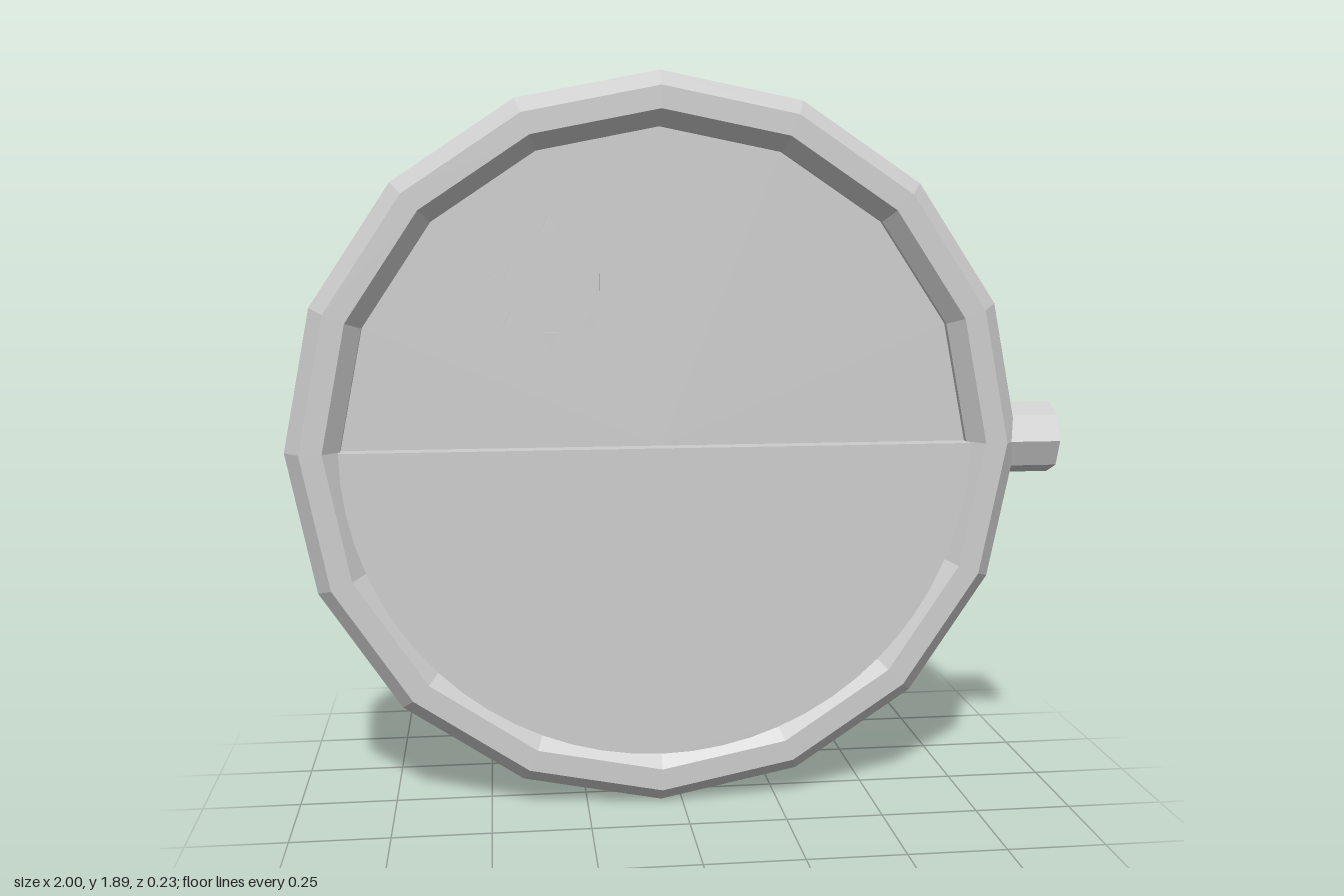
import * as THREE from 'three';

export function createModel() {
  const group = new THREE.Group();
  group.name = 'roundBadge';
  const grey = new THREE.MeshStandardMaterial({ color: 0xcccccc, flatShading: true });
  grey.name = 'plain grey';

  const add = (name, geometry, x, y) => {
    const mesh = new THREE.Mesh(geometry, grey);
    mesh.name = name;
    mesh.position.set(x, y, 0);
    group.add(mesh);
    return mesh;
  };
  // Slab of a shape, centred on z = 0 so both faces show
  const slab = (shape, half, curveSegments = 16) =>
    new THREE.ExtrudeGeometry(shape, { depth: half * 2, bevelEnabled: false, curveSegments })
      .translate(0, 0, -half);

  const cx = -0.055, cy = 0.95;

  // Bevelled sixteen-sided rim
  const profile = [
    [0.905, -0.115], [0.945, -0.07], [0.945, 0.07], [0.905, 0.115],
    [0.848, 0.115], [0.808, 0.07], [0.808, -0.07], [0.848, -0.115], [0.905, -0.115],
  ].map(([r, h]) => new THREE.Vector2(r, h));
  add('rim', new THREE.LatheGeometry(profile, 16).rotateX(Math.PI / 2), cx, cy);

  // Recessed disc behind the sun
  add('skyDisc', new THREE.CylinderGeometry(0.82, 0.82, 0.1, 16).rotateX(Math.PI / 2), cx, cy);

  // Raised lower half
  const half = new THREE.Shape();
  half.absarc(0, 0, 0.81, Math.PI, Math.PI * 2, false);
  half.closePath();
  add('lowerHalf', slab(half, 0.1), cx, cy);

  // Sun with eight rays, on both faces
  const sx = -0.333, sy = 1.37, sunHalf = 0.06;
  add('sun', new THREE.CylinderGeometry(0.113, 0.113, sunHalf * 2, 32).rotateX(Math.PI / 2), sx, sy);
  const ray = new THREE.Shape([
    new THREE.Vector2(0.125, -0.022), new THREE.Vector2(0.174, 0), new THREE.Vector2(0.125, 0.022),
  ]);
  const rayGeometry = slab(ray, sunHalf);
  for (let i = 0; i < 8; i++) add('sunRay', rayGeometry, sx, sy).rotation.z = i * Math.PI / 4;

  // Eight-sided side knob
  add('knob', new THREE.CylinderGeometry(0.095, 0.095, 0.14, 8).rotateZ(Math.PI / 2), 0.93, cy);

  return group;
}
